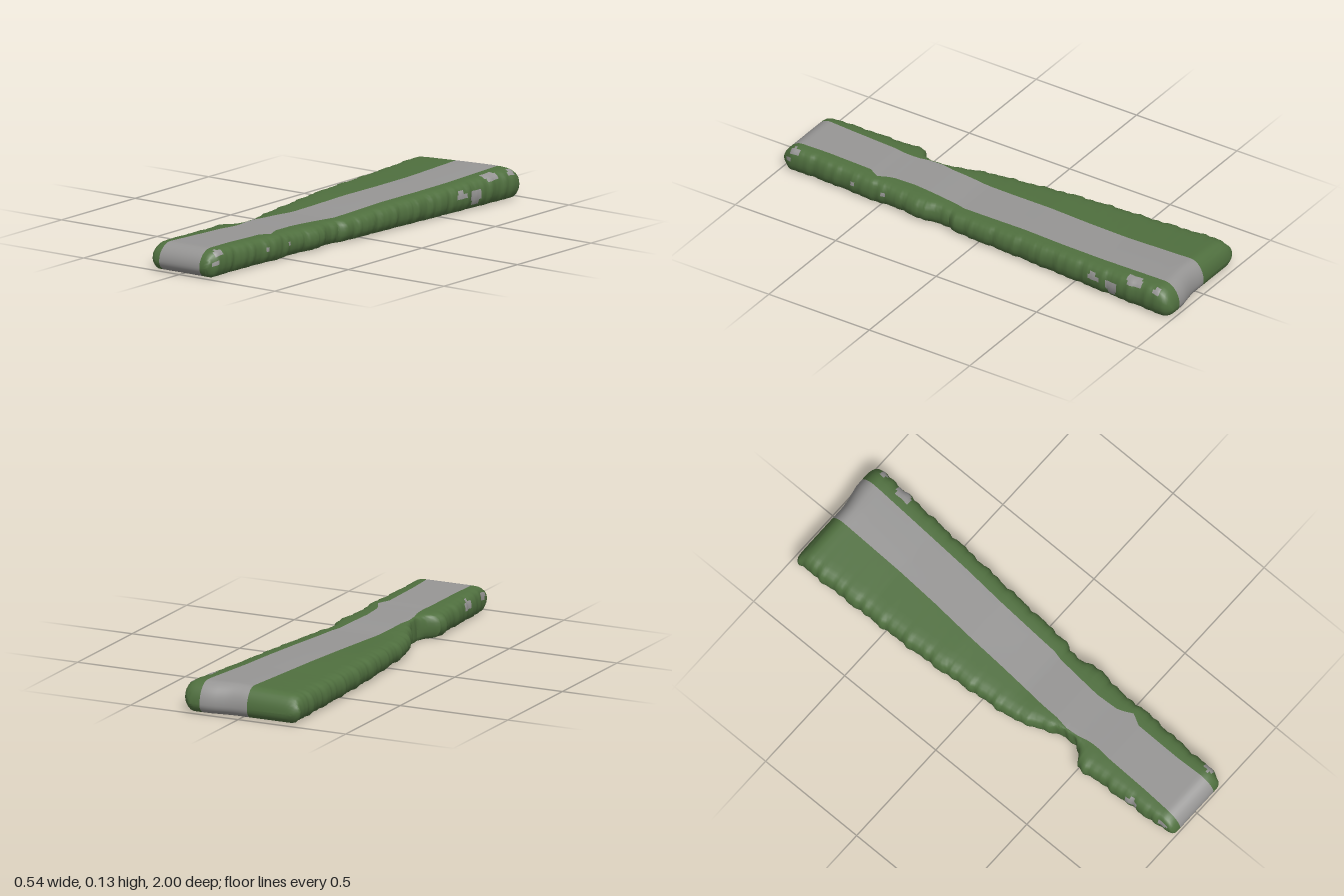
import * as THREE from 'three';
import { toCreasedNormals } from 'three/addons/utils/BufferGeometryUtils.js';

// Plan outline: z, left edge, right edge, path left, path right, top height
const STATIONS = [
  [-1.00, -0.263, 0.262, -0.03, 0.18, 0.135],
  [-0.90, -0.265, 0.262, -0.03, 0.178, 0.133],
  [-0.60, -0.255, 0.242, -0.035, 0.165, 0.120],
  [-0.40, -0.247, 0.230, -0.045, 0.155, 0.115],
  [-0.20, -0.235, 0.217, -0.06, 0.14, 0.110],
  [0.00, -0.215, 0.206, -0.07, 0.13, 0.101],
  [0.11, -0.205, 0.200, -0.077, 0.125, 0.097],
  [0.15, -0.200, 0.180, -0.08, 0.115, 0.097],
  [0.20, -0.190, 0.178, -0.085, 0.11, 0.099],
  [0.25, -0.165, 0.190, -0.088, 0.105, 0.101],
  [0.31, -0.145, 0.197, -0.09, 0.10, 0.103],
  [0.37, -0.108, 0.190, -0.10, 0.095, 0.104],
  [0.43, -0.110, 0.180, -0.095, 0.098, 0.105],
  [0.47, -0.140, 0.176, -0.085, 0.10, 0.106],
  [0.50, -0.183, 0.180, -0.082, 0.11, 0.107],
  [0.54, -0.185, 0.183, -0.082, 0.13, 0.108],
  [0.59, -0.178, 0.181, -0.088, 0.103, 0.110],
  [0.80, -0.168, 0.170, -0.095, 0.10, 0.114],
  [0.94, -0.157, 0.166, -0.103, 0.105, 0.116],
  [1.00, -0.152, 0.162, -0.105, 0.105, 0.114],
];

// Rounded flank: inset fraction, height fraction, from top to bottom
const FLANK = [[1.6, 1], [1, 0.99], [0.65, 0.965], [0.35, 0.9], [0.15, 0.8], [0.04, 0.66],
  [0, 0.5], [0.05, 0.33], [0.22, 0.17], [0.48, 0.05], [0.8, 0]];
const PATH_STEPS = 6;

// Bare stone spots on the flanks: side, z, y, z radius, y radius
const SPOTS = [[1, -0.70, 0.055, 0.03, 0.035], [1, -0.61, 0.075, 0.035, 0.014],
  [1, -0.81, 0.118, 0.045, 0.013], [1, -0.93, 0.115, 0.022, 0.012], [1, 0.93, 0.10, 0.025, 0.013],
  [1, 0.96, 0.06, 0.013, 0.012], [1, 0.48, 0.06, 0.01, 0.012], [1, 0.63, 0.07, 0.01, 0.012],
  [-1, 0.78, 0.075, 0.03, 0.022], [-1, 0.94, 0.075, 0.025, 0.018]];

const clamp = THREE.MathUtils.clamp;

function stationAt(z) {
  let i = 0;
  while (i < STATIONS.length - 2 && STATIONS[i + 1][0] < z) i++;
  const a = STATIONS[i], b = STATIONS[i + 1];
  const t = (z - a[0]) / (b[0] - a[0]);
  return a.map((v, k) => v + (b[k] - v) * t);
}

// Uneven ribs along the flanks
const ripple = (z, s) => 0.0028 * Math.sin(z * 41 + s * 2) + 0.0022 * Math.sin(z * 83 + s * 5)
  + 0.002 * Math.sin(z * 137 + s * 3);

// One closed loop: path top, right flank, path underside, left flank
function crossSection(z) {
  const [, left, right, pathL, pathR, height] = stationAt(z);
  const d = 1 - Math.abs(z);
  const round = (r) => { // quarter-round towards the ends, 0 to 1
    const u = clamp(1 - d / r, 0, 1);
    return 1 - Math.sqrt(1 - u * u);
  };
  const top = height - (height - 0.042) * round(0.075);
  const base = 0.042 * round(0.045);
  const corner = 0.035 * round(0.04);
  const points = [];
  const add = (x, g) => {
    const tilt = z < 0 ? 0.013 * -z * clamp((0.05 - x) / 0.25, 0, 1) * g : 0;
    const skew = 0.02 * clamp((-z - 0.85) / 0.15, 0, 1) * clamp((0.15 - x) / 0.1, 0, 1);
    points.push([x, base + (top - base) * g - tilt * (1 - round(0.075)), z + skew]);
  };
  const flankPoint = (edge, path, side, [f, g]) => {
    const e = edge - side * corner + side * ripple(z + (g - 0.5) * 0.02, side);
    const room = Math.max(0.004, side * (e - path));
    add(e - side * f * Math.min(0.055, room * 0.6), g);
  };
  for (let k = 0; k <= PATH_STEPS; k++) add(pathL + (pathR - pathL) * k / PATH_STEPS, 1);
  FLANK.forEach((p) => flankPoint(right, pathR, 1, p));
  for (let k = 0; k <= PATH_STEPS; k++) add(pathR + (pathL - pathR) * k / PATH_STEPS, 0);
  [...FLANK].reverse().forEach((p) => flankPoint(left, pathL, -1, p));
  return points;
}

function buildSlab() {
  // Finer spacing in the rounded ends
  const zs = [];
  for (let k = 0; k < 10; k++) zs.push(-1 + 0.08 * (1 - Math.cos(k / 10 * Math.PI / 2)));
  for (let k = 0; k <= 184; k++) zs.push(-0.92 + k * 0.01);
  for (let k = 9; k >= 0; k--) zs.push(1 - 0.08 * (1 - Math.cos(k / 10 * Math.PI / 2)));

  const rings = zs.map(crossSection);
  const n = rings[0].length;
  const underside = PATH_STEPS + 1 + FLANK.length;
  const faces = { grass: [], stone: [] };

  const isStone = (i, j) => {
    if (j < PATH_STEPS || (j >= underside && j < underside + PATH_STEPS)) return true;
    const side = j < underside ? 1 : -1;
    const p = rings[i][j], q = rings[i + 1][(j + 1) % n];
    const y = (p[1] + q[1]) / 2, z = (p[2] + q[2]) / 2;
    const edge = side > 0 ? stationAt(z)[2] : stationAt(z)[1];
    if (side * (edge - (p[0] + q[0]) / 2) > 0.06) return false;
    return SPOTS.some(([s, cz, cy, rz, ry]) =>
      s === side && ((z - cz) / rz) ** 2 + ((y - cy) / ry) ** 2 < 1);
  };

  for (let i = 0; i < rings.length - 1; i++) {
    for (let j = 0; j < n; j++) {
      const k = (j + 1) % n;
      const a = i * n + j, b = i * n + k, c = a + n, d = b + n;
      faces[isStone(i, j) ? 'stone' : 'grass'].push(a, c, b, b, c, d);
    }
  }

  const geometry = new THREE.BufferGeometry();
  geometry.setAttribute('position', new THREE.Float32BufferAttribute(rings.flat(2), 3));
  geometry.setIndex([...faces.grass, ...faces.stone]);
  geometry.addGroup(0, faces.grass.length, 0);
  geometry.addGroup(faces.grass.length, faces.stone.length, 1);
  return toCreasedNormals(geometry, 0.7);
}

export function createModel() {
  const grass = new THREE.MeshStandardMaterial({ color: 0x50703f });
  grass.name = 'grass green';
  const stone = new THREE.MeshStandardMaterial({ color: 0x979695 });
  stone.name = 'stone grey';

  // Grassy strip of ground with a stone path running along it
  const slab = new THREE.Mesh(buildSlab(), [grass, stone]);
  slab.name = 'groundWithPath';
  const model = new THREE.Group();
  model.name = 'pathSegment';
  model.add(slab);
  return model;
}
